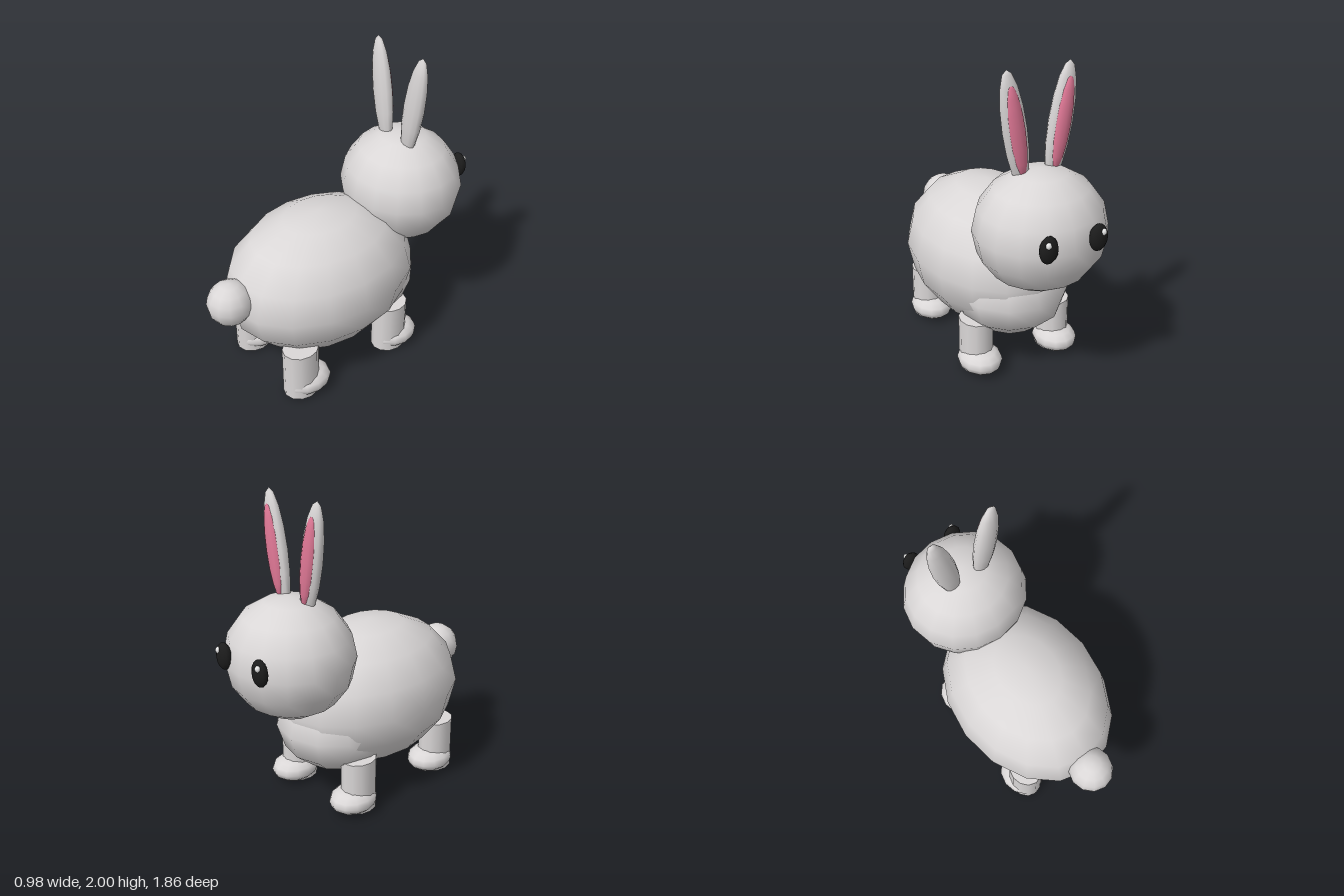
import * as THREE from 'three';

const material = (name, color) => {
  const m = new THREE.MeshStandardMaterial({ color });
  m.name = name;
  return m;
};

export function createModel() {
  const fur = material('pale grey fur', 0xdad7d7);
  const pink = material('inner ear pink', 0xe07896);
  const black = material('eye black', 0x1c1c1c);
  const white = material('eye highlight white', 0xf8f8f8);

  const rabbit = new THREE.Group();
  rabbit.name = 'rabbit';

  // Smooth, low-segment ellipsoid: centre and radii as [x, y, z]
  const ellipsoid = (name, mat, centre, radii, w = 16, h = 8, parent = rabbit) => {
    const mesh = new THREE.Mesh(new THREE.SphereGeometry(1, w, h), mat);
    mesh.name = name;
    mesh.position.set(...centre);
    mesh.scale.set(...radii);
    parent.add(mesh);
    return mesh;
  };

  // Torso, chest, head and tail; the head looks toward -z
  ellipsoid('body', fur, [0, 0.63, 0.12], [0.49, 0.465, 0.65]);
  ellipsoid('chest', fur, [0, 0.505, -0.18], [0.37, 0.31, 0.37], 12, 6);
  ellipsoid('head', fur, [0, 1.05, -0.53], [0.4, 0.37, 0.38]);
  ellipsoid('tail', fur, [0, 0.705, 0.785], [0.14, 0.145, 0.145], 12, 8);

  for (const side of [-1, 1]) {
    const label = side > 0 ? 'left' : 'right';

    // Ears lean outward, with a pink inner face
    const ear = new THREE.Group();
    ear.name = label + 'Ear';
    ear.position.set(side * 0.145, 1.65, -0.48);
    ear.rotation.z = -side * 0.155;
    ellipsoid('outerEar', fur, [0, 0, 0], [0.077, 0.354, 0.048], 12, 8, ear);
    ellipsoid('innerEar', pink, [0, 0, -0.026], [0.052, 0.275, 0.034], 12, 8, ear);
    rabbit.add(ear);

    // Eyes with a small highlight
    ellipsoid(label + 'Eye', black, [side * 0.158, 1.11, -0.885], [0.058, 0.083, 0.037], 12, 8);
    ellipsoid(label + 'EyeHighlight', white, [side * 0.174, 1.15, -0.91], [0.018, 0.02, 0.018], 8, 6);

    // Legs with flattened paws set slightly forward
    for (const [end, z] of [['Front', -0.24], ['Hind', 0.475]]) {
      const leg = new THREE.Mesh(new THREE.CylinderGeometry(0.103, 0.103, 0.345, 12), fur);
      leg.name = label + end + 'Leg';
      leg.position.set(side * 0.272, 0.1875, z);
      leg.scale.z = 1.15;
      rabbit.add(leg);
      ellipsoid(label + end + 'Paw', fur, [side * 0.27, 0.087, z - 0.045], [0.136, 0.083, 0.16], 12, 8);
    }
  }
  return rabbit;
}
